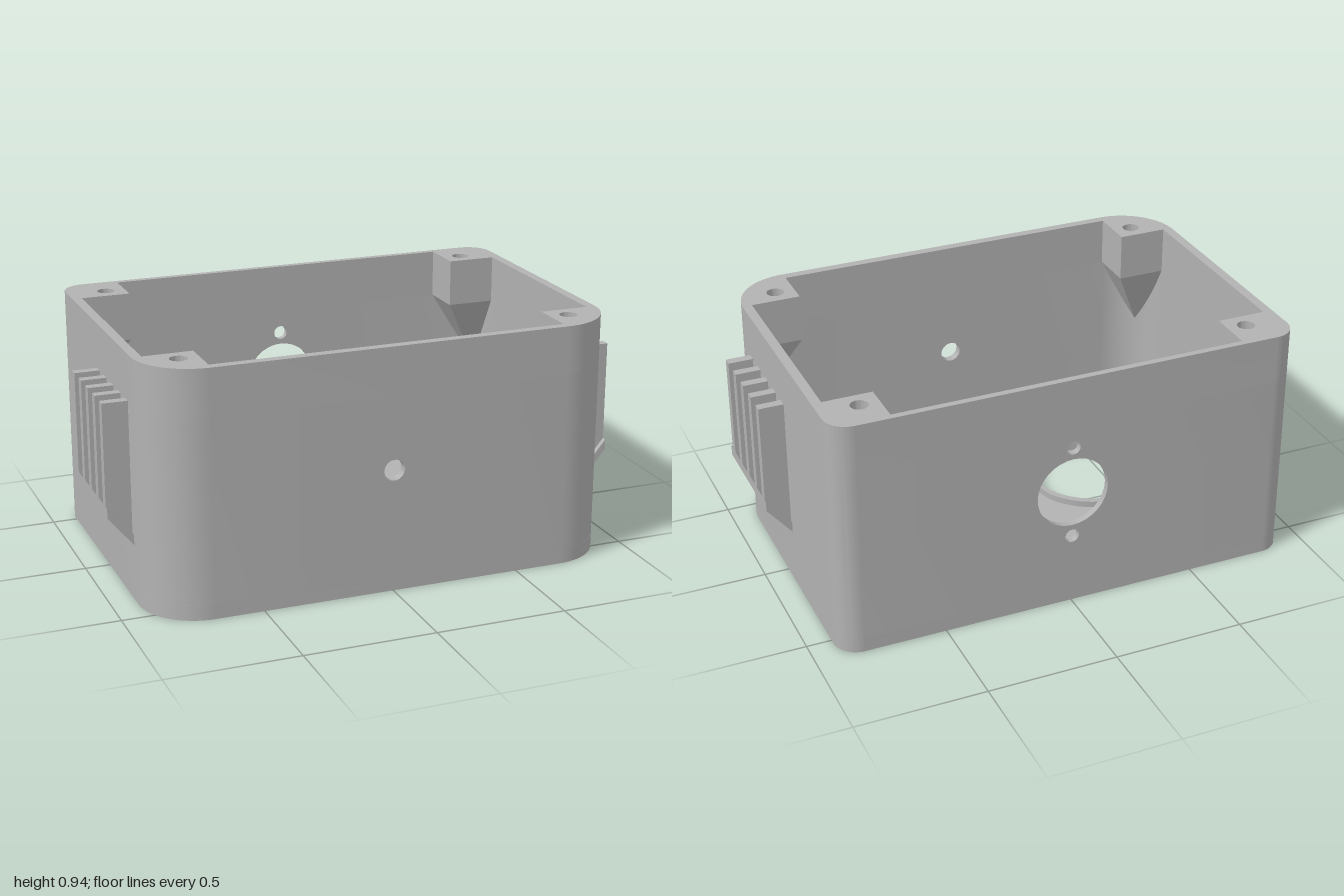
import * as THREE from 'three';
import { toCreasedNormals } from 'three/addons/utils/BufferGeometryUtils.js';
import { ConvexGeometry } from 'three/addons/geometries/ConvexGeometry.js';

const HEIGHT = 0.935, LEDGE = 0.75, FLOOR = 0.06, RECESS = 0.025;
const EYE_X = 0.415, EYE_Z = 0.1, HALF_PANEL = 0.3;

export function createModel() {
  const group = new THREE.Group();
  const grey = new THREE.MeshStandardMaterial({ color: 0xb2b2b2 });
  grey.name = 'grey plastic';

  const add = (name, geometry, parent = group) => {
    const mesh = new THREE.Mesh(geometry, grey);
    mesh.name = name;
    parent.add(mesh);
    return mesh;
  };
  const extrude = (shape, depth) => new THREE.ExtrudeGeometry(shape, { depth, bevelEnabled: false, curveSegments: 16 });
  // Plan shapes use (x, -z); extrude them upward from y0 to y1
  const plan = (shape, y0, y1) =>
    toCreasedNormals(extrude(shape, y1 - y0).rotateX(-Math.PI / 2).translate(0, y0, 0), 0.5);
  // Elevation shapes use (x, y); extrude them from z0 to z1
  const elevation = (shape, z0, z1) => toCreasedNormals(extrude(shape, z1 - z0).translate(0, 0, z0), 0.5);
  const polygon = (points) => new THREE.Shape(points.map(([x, y]) => new THREE.Vector2(x, y)));
  const circle = (x, y, r) => new THREE.Path().absarc(x, y, r, 0, Math.PI * 2, false);

  // Rounded outline, with larger corners at the front
  const outline = (hx, back, front, rb, rf) => {
    const s = new THREE.Shape();
    s.absarc(hx - rb, -back - rb, rb, 0, Math.PI / 2, false);
    s.absarc(-hx + rb, -back - rb, rb, Math.PI / 2, Math.PI, false);
    s.absarc(-hx + rf, -front + rf, rf, Math.PI, Math.PI * 1.5, false);
    s.absarc(hx - rf, -front + rf, rf, Math.PI * 1.5, Math.PI * 2, false);
    s.closePath();
    return s;
  };
  const outer = () => outline(0.905, -0.61, 0.61, 0.09, 0.22);

  // Underside layer: recesses round the two openings, arc groove and pin holes
  const base = outer();
  for (const s of [-1, 1]) {
    base.holes.push(circle(s * EYE_X, -EYE_Z, 0.35), circle(s * 0.35, 0.3, 0.025));
  }
  const groove = new THREE.Path();
  const a0 = Math.PI / 2 - 0.8, a1 = Math.PI / 2 + 0.8;
  groove.absarc(0, 0.04, 0.362, a0, a1, false);
  groove.absarc(0, 0.04, 0.318, a1, a0, true);
  groove.closePath();
  base.holes.push(groove);
  add('underside', plan(base, 0, RECESS));

  // Floor with the two round openings
  const floor = outer();
  for (const s of [-1, 1]) floor.holes.push(circle(s * EYE_X, -EYE_Z, 0.245));
  add('floor', plan(floor, RECESS, FLOOR));

  // Side walls, including the rounded corners
  for (const s of [-1, 1]) {
    const wall = new THREE.Shape();
    const arc = (cx, cy, r, from, to) => {
      for (let i = 0; i <= 12; i++) {
        const a = (from + (to - from) * i / 12) * Math.PI / 2;
        wall.lineTo(s * (cx + r * Math.cos(a)), cy + r * Math.sin(a));
      }
    };
    wall.moveTo(s * HALF_PANEL, 0.61);
    arc(0.815, 0.52, 0.09, 1, 0);
    arc(0.685, -0.39, 0.22, 0, -1);
    wall.lineTo(s * HALF_PANEL, -0.61);
    wall.lineTo(s * HALF_PANEL, -0.575);
    arc(0.683, -0.39, 0.185, -1, 0);
    arc(0.808, 0.525, 0.06, 0, 1);
    wall.lineTo(s * HALF_PANEL, 0.585);
    wall.closePath();
    add(s > 0 ? 'leftWall' : 'rightWall', plan(wall, FLOOR, LEDGE));
  }

  // Front and back wall panels with their holes
  const panel = (holes) => {
    const p = polygon([[-HALF_PANEL, FLOOR], [HALF_PANEL, FLOOR], [HALF_PANEL, LEDGE], [-HALF_PANEL, LEDGE]]);
    p.holes.push(...holes);
    return p;
  };
  add('frontWall', elevation(panel([circle(0, 0.47, 0.04)]), 0.575, 0.61));
  add('backWall', elevation(panel([
    circle(0, 0.47, 0.14), circle(0, 0.657, 0.027), circle(0, 0.283, 0.027),
  ]), -0.61, -0.585));

  // Upper rim with the corner posts and screw holes
  const rim = outer();
  rim.holes.push(polygon([
    [0.68, 0.585], [-0.68, 0.585], [-0.68, 0.41], [-0.868, 0.41], [-0.868, -0.4], [-0.68, -0.4],
    [-0.68, -0.575], [0.68, -0.575], [0.68, -0.4], [0.868, -0.4], [0.868, 0.41], [0.68, 0.41],
  ]));
  for (const s of [-1, 1]) rim.holes.push(circle(s * 0.755, 0.48, 0.033), circle(s * 0.755, -0.47, 0.033));
  add('rim', plan(rim, LEDGE, HEIGHT));

  // Tapered supports below the corner posts
  const frontSection = [[0.68, 0.4], [0.88, 0.4], [0.828, 0.533], [0.68, 0.59]];
  const backSection = [[0.68, -0.41], [0.88, -0.41], [0.86, -0.567], [0.68, -0.595]];
  for (const s of [-1, 1]) {
    for (const section of [frontSection, backSection]) {
      const points = section.map(([x, z]) => new THREE.Vector3(s * x, LEDGE, z));
      points.push(new THREE.Vector3(s * section[2][0], 0.46, section[2][1]));
      add('postSupport', new ConvexGeometry(points));
    }
  }

  // Raised collars with a tab toward the middle
  const alpha = Math.asin(0.13 / 0.27);
  for (const s of [-1, 1]) {
    const collar = new THREE.Shape();
    collar.moveTo(-0.31, -0.13);
    collar.absarc(0, 0, 0.27, -(Math.PI - alpha), Math.PI - alpha, false);
    collar.lineTo(-0.31, 0.13);
    collar.closePath();
    collar.holes.push(circle(0, 0, 0.245));
    const mesh = add('collar', plan(collar, FLOOR, 0.085));
    mesh.position.set(s * EYE_X, 0, EYE_Z);
    if (s < 0) mesh.rotation.y = Math.PI;
  }

  // Middle strip on the floor
  add('floorStrip', new THREE.BoxGeometry(0.21, 0.016, 0.655).translate(0, FLOOR + 0.008, -0.2575));

  // Screw bosses
  for (const s of [-1, 1]) {
    for (const [x, z] of [[0.655, -0.16], [0.18, 0.355]]) {
      const boss = new THREE.Shape().absarc(s * x, -z, 0.058, 0, Math.PI * 2, false);
      boss.holes.push(circle(s * x, -z, 0.033));
      add('screwBoss', plan(boss, FLOOR, 0.18));
    }
  }

  // Side grips: five upright fins on a sloping ledge
  for (const s of [-1, 1]) {
    const grip = new THREE.Group();
    grip.name = s > 0 ? 'leftGrip' : 'rightGrip';
    group.add(grip);
    const ledge = polygon([[s * 0.9, 0.214], [s, 0.335], [s, 0.375], [s * 0.9, 0.254]]);
    add('gripLedge', elevation(ledge, -0.085, 0.36), grip);
    const fin = polygon([[s * 0.9, 0.25], [s, 0.372], [s, 0.76], [s * 0.9, 0.76]]);
    for (let i = 0; i < 5; i++) {
      const z = 0.323 - i * 0.0945;
      add('gripFin', elevation(fin, z - 0.0175, z + 0.0175), grip);
    }
  }

  return group;
}
